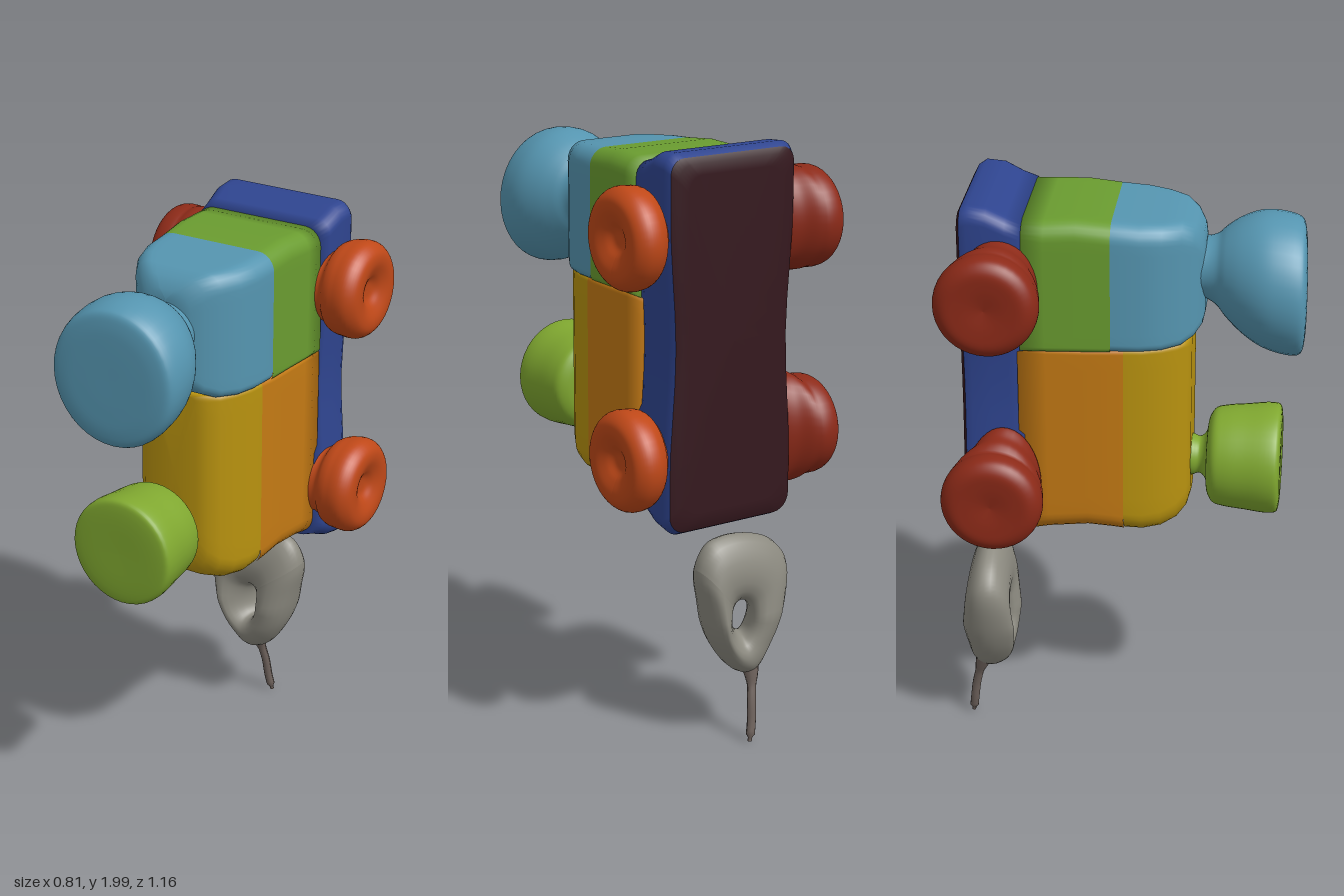
import * as THREE from 'three';

const V = (x, y, z) => new THREE.Vector3(x, y, z);
const paint = (color) => new THREE.MeshStandardMaterial({ color });
const clamp01 = (t) => THREE.MathUtils.clamp(t, 0, 1);

// Rounded-rectangle outline, counter-clockwise seen from +z, with extra points along its sides
function outline(x0, x1, y0, y1, rTop, rBottom, z) {
  const corners = [[x1, y1, rTop], [x0, y1, rTop], [x0, y0, rBottom], [x1, y0, rBottom]];
  const lim = Math.min(x1 - x0, y1 - y0) * 0.49;
  const arcs = corners.map(([x, y, r0], k) => {
    const r = Math.min(r0, lim);
    const cx = x + (x === x1 ? -r : r), cy = y + (y === y1 ? -r : r);
    return Array.from({ length: 7 }, (_, i) => {
      const a = (k + i / 6) * Math.PI / 2;
      return V(cx + r * Math.cos(a), cy + r * Math.sin(a), z);
    });
  });
  return arcs.flatMap((arc, k) => {
    const next = arcs[(k + 1) % 4][0];
    const side = Array.from({ length: 9 }, (_, i) => arc[6].clone().lerp(next, (i + 1) / 10));
    return [...arc, ...side];
  });
}

// Surface through loops of points running towards +z, with optional end caps
function loft(rings, capStart, capEnd) {
  const n = rings[0].length, pos = [], idx = [];
  rings.forEach((r) => r.forEach((p) => pos.push(p.x, p.y, p.z)));
  for (let j = 0; j < rings.length - 1; j++)
    for (let i = 0; i < n; i++) {
      const a = j * n + i, b = j * n + (i + 1) % n;
      idx.push(a, b, b + n, a, b + n, a + n);
    }
  const cap = (j, flip) => {
    const c = pos.length / 3, mid = V(0, 0, 0);
    rings[j].forEach((p) => mid.addScaledVector(p, 1 / n));
    pos.push(mid.x, mid.y, mid.z);
    for (let i = 0; i < n; i++) {
      const a = j * n + i, b = j * n + (i + 1) % n;
      idx.push(...(flip ? [c, b, a] : [c, a, b]));
    }
  };
  if (capStart) cap(0, true);
  if (capEnd) cap(rings.length - 1, false);
  const g = new THREE.BufferGeometry();
  g.setAttribute('position', new THREE.Float32BufferAttribute(pos, 3));
  g.setIndex(idx);
  g.computeVertexNormals();
  return g;
}

// Moves every vertex of a geometry by a rule
function reshape(g, rule) {
  const a = g.attributes.position;
  for (let i = 0; i < a.count; i++) {
    const p = V(a.getX(i), a.getY(i), a.getZ(i));
    rule(p, i);
    a.setXYZ(i, p.x, p.y, p.z);
  }
  g.computeVertexNormals();
  return g;
}

// Turned part from [radius, height] points smoothed by a curve, its axis along +z
function turned(pts) {
  const curve = new THREE.CatmullRomCurve3(pts.map(([r, h]) => V(r, h, 0)), false, 'centripetal');
  const profile = curve.getPoints(48).map((p) => new THREE.Vector2(Math.max(p.x, 0), p.y));
  return new THREE.LatheGeometry(profile, 40).rotateX(Math.PI / 2);
}

export function createModel() {
  const model = new THREE.Group();
  const add = (name, geometry, color) => {
    const m = new THREE.Mesh(geometry, paint(color));
    m.name = name;
    model.add(m);
    return m;
  };
  // Sections are [z, x0, x1, y0, y1]
  const block = (name, color, secs, rT, rB, start, end) =>
    add(name, loft(secs.map(([z, x0, x1, y0, y1]) => outline(x0, x1, y0, y1, rT, rB, z)), start, end), color);

  // Chassis slab with a dark underside, slightly waisted between the wheels
  const waist = (p) => {
    const t = clamp01(1 - Math.abs(p.y - 1.38) / 0.42);
    p.x -= (p.x - 0.01) * 0.09 * t * t * (3 - 2 * t);
  };
  reshape(block('chassis', 0x2f4590, [
    [-0.515, -0.225, 0.248, 0.78, 1.985], [-0.49, -0.235, 0.258, 0.768, 2.0], [-0.43, -0.235, 0.258, 0.782, 1.995],
    [-0.37, -0.233, 0.25, 0.808, 1.967], [-0.32, -0.228, 0.243, 0.825, 1.952]], 0.05, 0.06, false, true).geometry, waist);
  reshape(block('underside', 0x35181e, [
    [-0.53, -0.17, 0.19, 0.84, 1.93], [-0.526, -0.205, 0.225, 0.805, 1.965],
    [-0.515, -0.225, 0.248, 0.78, 1.985]], 0.05, 0.06, true, false).geometry, waist);

  // Lower body: orange rear half, yellow front half
  block('rearBody', 0xc47a14, [
    [-0.34, -0.215, 0.235, 0.828, 1.525], [-0.25, -0.212, 0.232, 0.845, 1.525], [-0.12, -0.208, 0.23, 0.857, 1.525],
    [-0.04, -0.2, 0.225, 0.847, 1.525], [0, -0.195, 0.218, 0.84, 1.525]], 0.02, 0.07, true, false);
  block('frontBody', 0xb8920f, [
    [0, -0.195, 0.218, 0.84, 1.525], [0.06, -0.188, 0.212, 0.835, 1.525], [0.12, -0.168, 0.192, 0.84, 1.525],
    [0.17, -0.14, 0.165, 0.86, 1.525], [0.2, -0.108, 0.135, 0.89, 1.525],
    [0.213, -0.07, 0.095, 0.93, 1.515]], 0.02, 0.08, false, true);

  // Cabin: green rear half, light blue rounded front half
  block('rearCabin', 0x6a9c30, [
    [-0.33, -0.228, 0.243, 1.515, 1.952], [-0.25, -0.225, 0.24, 1.515, 1.955], [-0.15, -0.218, 0.235, 1.515, 1.96],
    [-0.04, -0.21, 0.232, 1.515, 1.95]], 0.06, 0.02, true, false);
  block('frontCabin', 0x5595b0, [
    [-0.04, -0.21, 0.232, 1.515, 1.95], [0.05, -0.205, 0.228, 1.515, 1.945], [0.12, -0.185, 0.21, 1.515, 1.94],
    [0.18, -0.15, 0.175, 1.52, 1.935], [0.22, -0.115, 0.135, 1.54, 1.915],
    [0.245, -0.08, 0.1, 1.57, 1.88], [0.252, -0.05, 0.07, 1.6, 1.85]], 0.06, 0.03, false, true);

  // Large funnel, its face slightly turned and lower towards the front
  add('largeFunnel', reshape(turned([[0.1, -0.05], [0.1, 0], [0.115, 0.04], [0.145, 0.07], [0.18, 0.115],
    [0.208, 0.17], [0.219, 0.22], [0.217, 0.29], [0.205, 0.315], [0.17, 0.325], [0.1, 0.328], [0, 0.328]]), (p) => {
    const t = clamp01(p.z / 0.3);
    p.z += 0.245 - p.x * 0.06 * t;
    p.x += 0.01;
    p.y = p.y * (1 + 0.07 * t) + 1.74 - 0.055 * t;
  }), 0x5595b0);

  // Small funnel
  add('smallFunnel', turned([[0.07, -0.06], [0.07, -0.02], [0.062, 0.005], [0.08, 0.025], [0.13, 0.035], [0.16, 0.055],
    [0.17, 0.09], [0.178, 0.16], [0.186, 0.24], [0.18, 0.268], [0.15, 0.276], [0, 0.277]]), 0x80a830)
    .position.set(-0.005, 1.06, 0.235);

  // Wheels with dished hubs on flared axles that lean forward into the body
  const leftProfile = [[0.09, -0.05], [0.105, 0], [0.112, 0.035], [0.143, 0.06], [0.163, 0.1],
    [0.162, 0.145], [0.135, 0.177], [0.1, 0.182], [0.06, 0.168], [0.03, 0.15], [0, 0.147]];
  const rightProfile = [[0.1, -0.05], [0.122, 0], [0.135, 0.04], [0.158, 0.08], [0.168, 0.12],
    [0.16, 0.16], [0.13, 0.183], [0.08, 0.185], [0, 0.175]];
  const wheel = (name, profile, side, y, flare, color) => {
    const g = turned(profile).rotateY(side * Math.PI / 2);
    add(name, reshape(g, (p) => {
      const t = clamp01(1 - Math.abs(p.x) / 0.1);
      p.y *= 1 + flare * t;
      p.z += 0.025 * t;
    }), color).position.set(side * 0.22, y, -0.415);
  };
  wheel('upperLeftWheel', leftProfile, 1, 1.735, 0.15, 0xbf4818);
  wheel('lowerLeftWheel', leftProfile, 1, 1.02, 0.15, 0xbf4818);
  wheel('upperRightWheel', rightProfile, -1, 1.73, 0.4, 0x8c2a18);
  wheel('lowerRightWheel', rightProfile, -1, 1.03, 0.7, 0x8c2a18);

  // Pull tag: a plump ring between an outer outline and a small slanting eyelet
  const rim = new THREE.CatmullRomCurve3([[0.11, 0.62], [0.07, 0.7], [0, 0.72], [-0.1, 0.71], [-0.19, 0.67],
    [-0.24, 0.6], [-0.225, 0.46], [-0.17, 0.32], [-0.095, 0.23], [-0.03, 0.25], [0.05, 0.36], [0.09, 0.5]]
    .map(([x, y]) => V(x, y, 0)), true);
  const rings = [];
  for (let i = 0; i <= 64; i++) {
    const o = rim.getPoint(i / 64);
    const a = Math.atan2(o.y - 0.43, o.x + 0.065);
    const inner = V(-0.065 + 0.035 * Math.cos(a), 0.43 + 0.058 * Math.sin(a), 0);
    const ring = [];
    for (let j = 0; j < 20; j++) {
      const b = -j / 20 * Math.PI * 2, s = (1 + Math.cos(b)) / 2;
      const p = inner.clone().lerp(o, s);
      const h = Math.sin(b) * (0.093 - 0.03 * Math.abs(p.y - 0.43) / 0.25);
      p.x -= 0.5 * h * (1 - s);
      p.z = -0.472 - 0.1 * Math.max(0, 0.34 - p.y) + h;
      ring.push(p);
    }
    rings.push(ring);
  }
  add('pullTag', loft(rings, false, false), 0x8c8a80).material.side = THREE.DoubleSide;

  // Tapering cord end below the tag
  const path = new THREE.CatmullRomCurve3([V(-0.09, 0.29, -0.49), V(-0.085, 0.22, -0.515), V(-0.072, 0.14, -0.535),
    V(-0.065, 0.07, -0.545), V(-0.053, 0.008, -0.553)]);
  const cord = reshape(new THREE.TubeGeometry(path, 24, 0.02, 12, false), (p, i) => {
    const t = Math.floor(i / 13) / 24, c = path.getPointAt(t);
    const k = t > 0.95 ? 0.35 : 0.75 + 1.2 * Math.max(0, 0.35 - t) / 0.35;
    p.sub(c).multiplyScalar(k).add(c);
    p.y = Math.max(p.y, 0);
  });
  add('cord', cord, 0x6e625c).material.side = THREE.DoubleSide;

  return model;
}
